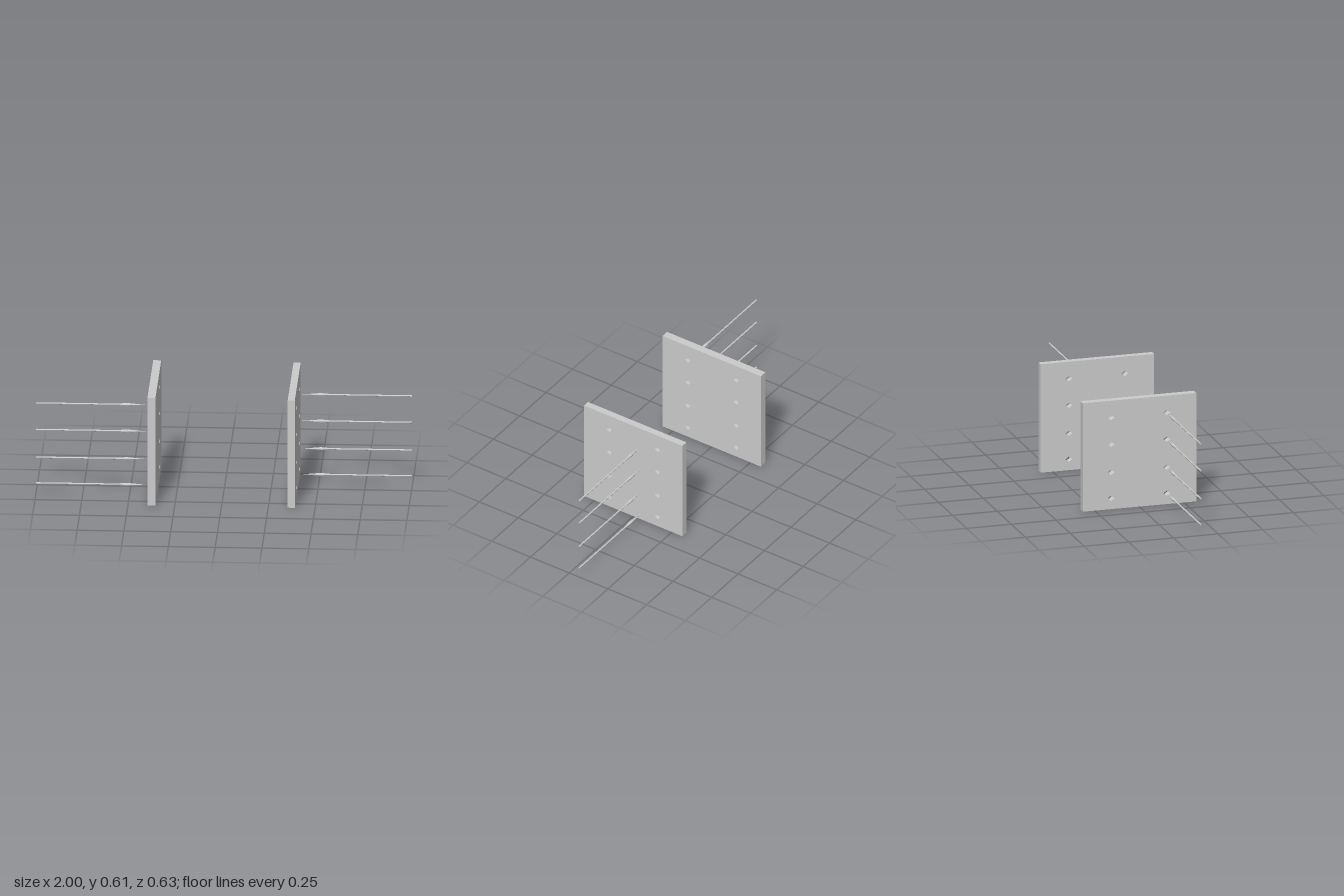
import * as THREE from 'three';

const ROWS = [0.06, 0.205, 0.361, 0.51];
const HOLE_COLUMNS = [0.152, -0.16];

export function createModel() {
  const model = new THREE.Group();
  const material = new THREE.MeshStandardMaterial({ color: 0xcccccc, flatShading: true });

  // Upright wall outline (z across, y up) pierced by two columns of diamond holes
  const outline = new THREE.Shape();
  outline.moveTo(-0.317, 0);
  outline.lineTo(0.318, 0);
  outline.lineTo(0.318, 0.605);
  outline.lineTo(-0.317, 0.605);
  outline.closePath();
  for (const z of HOLE_COLUMNS) {
    for (const y of ROWS) {
      const hole = new THREE.Path();
      hole.moveTo(z - 0.021, y);
      hole.lineTo(z, y + 0.015);
      hole.lineTo(z + 0.021, y);
      hole.lineTo(z, y - 0.015);
      hole.closePath();
      outline.holes.push(hole);
    }
  }

  function addWall(name, xMin, xMax) {
    const geometry = new THREE.ExtrudeGeometry(outline, { depth: xMax - xMin, bevelEnabled: false });
    geometry.rotateY(-Math.PI / 2).translate(xMax, 0, 0);
    const wall = new THREE.Mesh(geometry, material);
    wall.name = name;
    model.add(wall);
  }
  addWall('rightWall', -0.396, -0.353);
  addWall('leftWall', 0.354, 0.392);

  // Spear profile: needle tip, swollen head, thin straight shaft
  const profile = [
    [0, 0.412], [0.004, 0.46], [0.009, 0.513], [0.0045, 0.565], [0.0045, 1], [0, 1],
  ].map(([r, d]) => new THREE.Vector2(r, d));
  const spearGeometry = new THREE.LatheGeometry(profile, 8);

  // Each side's row of spears points inward at its wall
  for (const [name, side, z] of [['rightSpear', -1, 0.152], ['leftSpear', 1, -0.065]]) {
    ROWS.forEach((y, i) => {
      const spear = new THREE.Mesh(spearGeometry, material);
      spear.name = name + (i + 1);
      spear.rotation.z = -side * Math.PI / 2;
      spear.position.set(0, y + 0.001, z);
      model.add(spear);
    });
  }
  return model;
}
